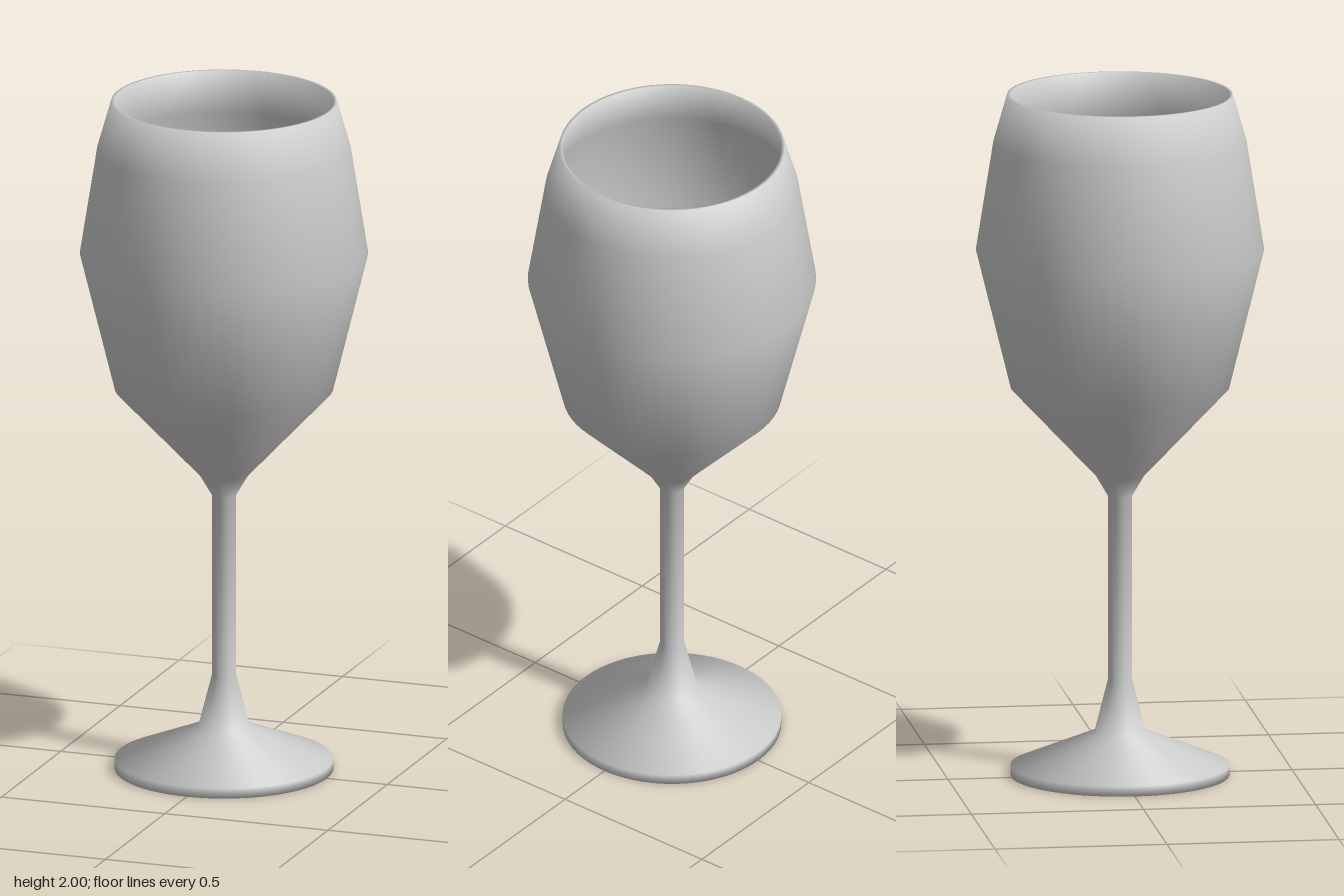
import * as THREE from 'three';

const SEGMENTS = 64;

// One continuous outline [radius, height]: underside, foot, stem, outer bowl, rim, inner bowl
const outline = [
  [0, 0], [0.315, 0], [0.315, 0.03], [0.073, 0.13],
  [0.035, 0.28], [0.035, 0.82], [0.07, 0.88],
  [0.315, 1.14], [0.415, 1.545], [0.365, 1.86], [0.325, 2],
  [0.315, 2], [0.355, 1.86], [0.405, 1.545], [0.306, 1.15], [0.06, 0.9], [0, 0.89],
].map(([r, y]) => new THREE.Vector2(r, y));

// Smooth normal at an outline point: even average of its two neighbouring segments
function outlineNormal(i) {
  const n = new THREE.Vector2();
  for (const k of [i - 1, i]) {
    if (k < 0 || k + 1 >= outline.length) continue;
    const d = outline[k + 1].clone().sub(outline[k]).normalize();
    n.add(new THREE.Vector2(d.y, -d.x));
  }
  return n.normalize();
}

// Turn a stretch of the outline, keeping the shading continuous between parts
function turnedPart(name, first, last, material) {
  const points = outline.slice(first, last + 1);
  const geometry = new THREE.LatheGeometry(points, SEGMENTS);
  const normal = geometry.attributes.normal;
  for (let s = 0; s <= SEGMENTS; s++) {
    const a = (s / SEGMENTS) * Math.PI * 2;
    points.forEach((p, j) => {
      const n = outlineNormal(first + j);
      normal.setXYZ(s * points.length + j, n.x * Math.sin(a), n.y, n.x * Math.cos(a));
    });
  }
  const mesh = new THREE.Mesh(geometry, material);
  mesh.name = name;
  return mesh;
}

export function createModel() {
  const group = new THREE.Group();
  group.name = 'wineGlass';
  const material = new THREE.MeshStandardMaterial({ color: 0xcccccc });
  group.add(
    turnedPart('foot', 0, 4, material),
    turnedPart('stem', 4, 6, material),
    turnedPart('bowl', 6, outline.length - 1, material),
  );
  return group;
}
